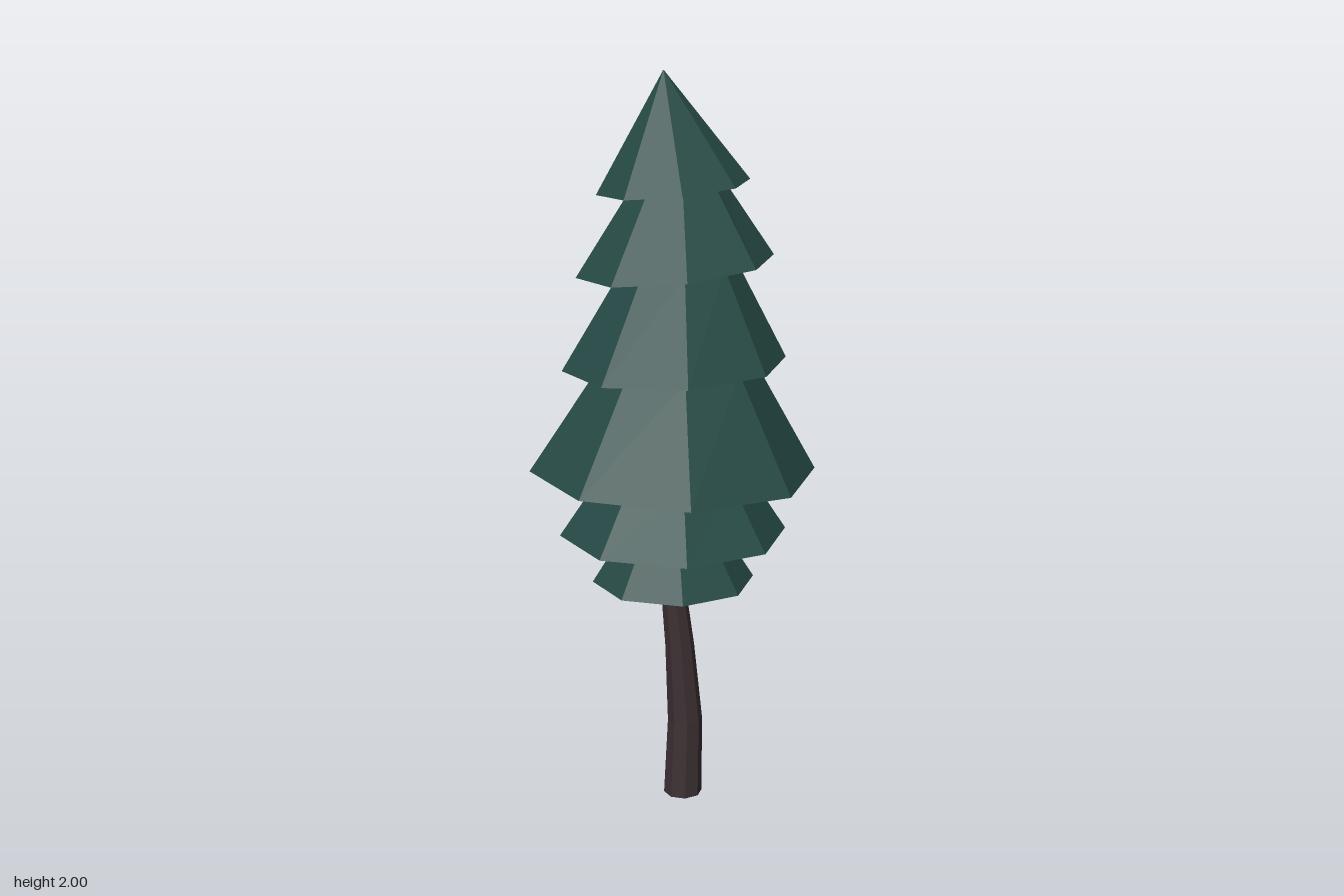
import * as THREE from 'three';

const SIDES = 8;

// Skin a stack of eight-sided rings, listed bottom to top.
// Ring: [centre x, centre y, radius, tilt (rise per unit of x)]
function loft(rings, color, name) {
  const point = ([cx, cy, r, tilt = 0], i) => {
    const a = (i % SIDES) * Math.PI * 2 / SIDES;
    const dx = r * Math.cos(a);
    return [cx + dx, cy + tilt * dx, r * Math.sin(a)];
  };
  const pos = [];
  for (let k = 0; k < rings.length - 1; k++) {
    const lo = rings[k], hi = rings[k + 1];
    for (let i = 0; i < SIDES; i++) {
      const a = point(lo, i), b = point(lo, i + 1), c = point(hi, i), d = point(hi, i + 1);
      if (lo[2] > 0) pos.push(...a, ...c, ...b);
      if (hi[2] > 0) pos.push(...b, ...c, ...d);
    }
  }
  const geometry = new THREE.BufferGeometry();
  geometry.setAttribute('position', new THREE.Float32BufferAttribute(pos, 3));
  geometry.computeVertexNormals();
  const mesh = new THREE.Mesh(geometry, new THREE.MeshStandardMaterial({ color, flatShading: true }));
  mesh.name = name;
  return mesh;
}

export function createModel() {
  const tree = new THREE.Group();
  tree.name = 'pineTree';

  // Bent, tapering trunk with a closed base
  tree.add(loft([
    [0.027, 0, 0],
    [0.027, 0, 0.053],
    [0.033, 0.22, 0.048],
    [0.018, 0.44, 0.040],
    [-0.003, 0.64, 0.033],
  ], 0x3d3033, 'trunk'));

  // Foliage: each tier is a flared rim, then a narrow neck tucked under the next rim
  tree.add(loft([
    [0, 0.635, 0],
    [0, 0.635, 0.22],
    [0, 0.77, 0.135],
    [0, 0.77, 0.307],
    [0.005, 0.945, 0.19, -0.02],
    [0, 0.945, 0.385, -0.02],
    [0.007, 1.235, 0.208, 0.04],
    [0.003, 1.236, 0.298, 0.04],
    [0.012, 1.497, 0.152, 0.1],
    [0.005, 1.497, 0.26, 0.1],
    [0.01, 1.703, 0.125, 0.09],
    [0, 1.703, 0.2, 0.09],
    [-0.025, 2, 0],
  ], 0x264a45, 'foliage'));

  return tree;
}
